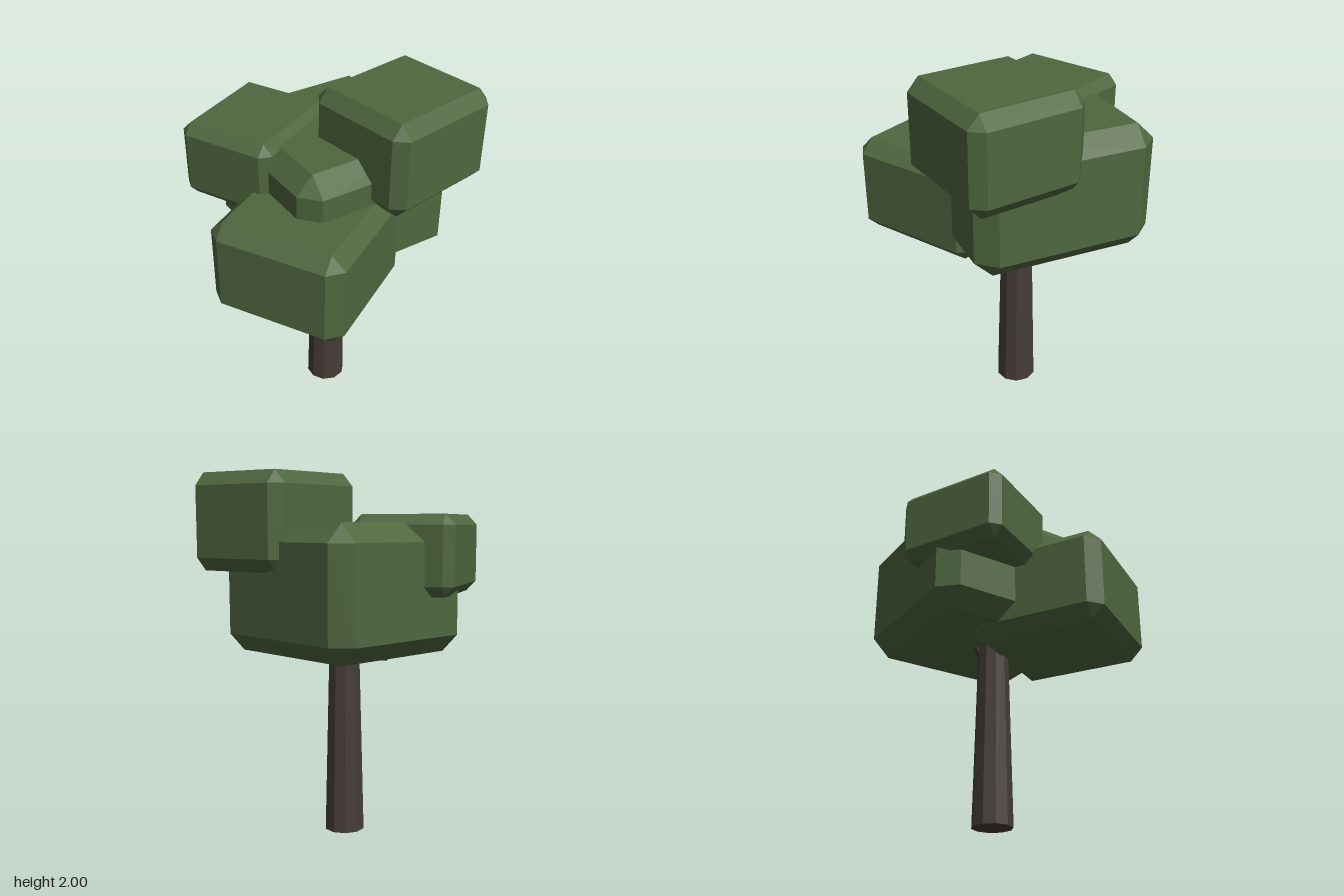
import * as THREE from 'three';
import { ConvexGeometry } from 'three/addons/geometries/ConvexGeometry.js';

// Box with every edge cut by a single flat chamfer (half sizes and chamfer as [x, y, z])
function chamferedBox(half, cut) {
  const points = [];
  for (const sx of [-1, 1]) for (const sy of [-1, 1]) for (const sz of [-1, 1]) {
    const s = [sx, sy, sz];
    for (let face = 0; face < 3; face++) {
      const p = s.map((sign, i) => sign * (i === face ? half[i] : half[i] - cut[i]));
      points.push(new THREE.Vector3(...p));
    }
  }
  return new ConvexGeometry(points);
}

export function createModel() {
  const tree = new THREE.Group();
  tree.name = 'tree';
  const leaf = new THREE.MeshStandardMaterial({ color: 0x4f673f, flatShading: true });
  leaf.name = 'leafGreen';
  const bark = new THREE.MeshStandardMaterial({ color: 0x453c37, flatShading: true });
  bark.name = 'barkBrown';

  // Tapered ten-sided trunk, reaching up into the foliage
  const trunk = new THREE.Mesh(new THREE.CylinderGeometry(0.08, 0.113, 1.3, 10, 1, false, Math.PI / 2), bark);
  trunk.name = 'trunk';
  trunk.position.set(0.087, 0.65, 0.012);
  tree.add(trunk);

  // Short branch leaving the trunk just under the foliage
  const from = new THREE.Vector3(0.1, 0.96, -0.01);
  const to = new THREE.Vector3(0.27, 1.28, -0.08);
  const dir = to.clone().sub(from);
  const branch = new THREE.Mesh(new THREE.CylinderGeometry(0.035, 0.045, dir.length(), 6), bark);
  branch.name = 'branch';
  branch.position.copy(from).lerp(to, 0.5);
  branch.quaternion.setFromUnitVectors(new THREE.Vector3(0, 1, 0), dir.normalize());
  tree.add(branch);

  // Foliage blocks: name, centre, half size, chamfer, turn in degrees
  const blocks = [
    ['topFoliage', [0.307, 1.74, 0.318], [0.338, 0.26, 0.32], [0.06, 0.07, 0.064], -4.4],
    ['backFoliage', [-0.101, 1.567, -0.337], [0.317, 0.213, 0.277], [0.05, 0.055, 0.052], 13],
    ['middleFoliage', [0.166, 1.39, -0.031], [0.468, 0.347, 0.494], [0.092, 0.098, 0.1], -13.6],
    ['frontFoliage', [-0.261, 1.24, 0.194], [0.386, 0.272, 0.373], [0.071, 0.073, 0.075], 16.6],
  ];
  for (const [name, centre, half, cut, turn] of blocks) {
    const block = new THREE.Mesh(chamferedBox(half, cut), leaf);
    block.name = name;
    block.position.set(...centre);
    block.rotation.y = THREE.MathUtils.degToRad(turn);
    tree.add(block);
  }
  return tree;
}
